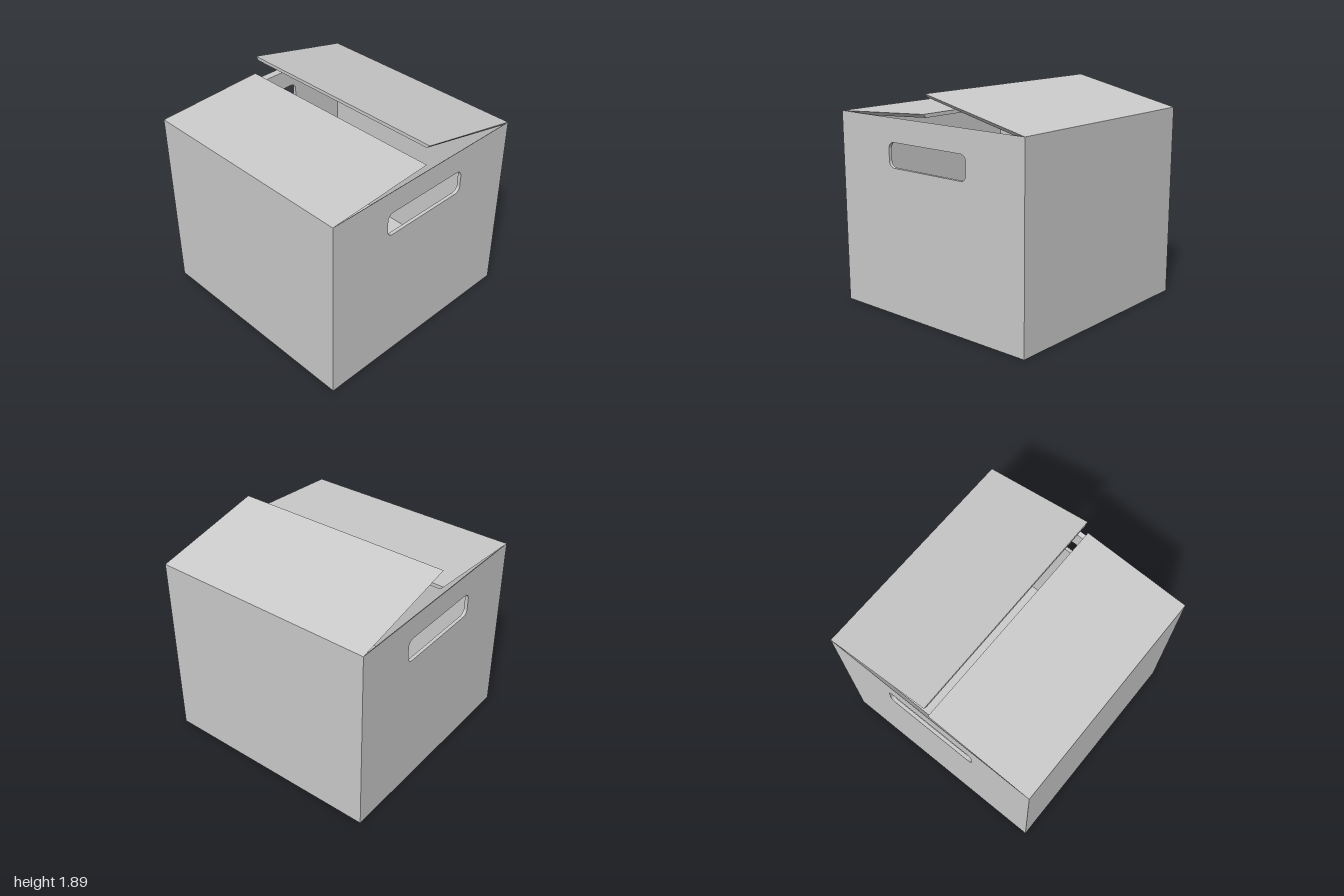
import * as THREE from 'three';

const H = 1.67; // height of the walls
const T = 0.03; // board thickness
const material = new THREE.MeshStandardMaterial({ color: 0xcccccc });

// Board with mitred edges: four outer corners (anticlockwise from outside) and the matching inner ones.
function board(name, outer, inner, turn = 1) {
  const corners = [...outer, ...inner].map(([x, y, z]) => [x * turn, y, z * turn]);
  const faces = [[0, 1, 2, 3], [7, 6, 5, 4]];
  for (let i = 0; i < 4; i++) {
    const j = (i + 1) % 4;
    faces.push([i, i + 4, j + 4, j]);
  }
  const positions = faces.flatMap(([a, b, c, d]) => [a, b, c, a, c, d].flatMap((k) => corners[k]));
  const geometry = new THREE.BufferGeometry();
  geometry.setAttribute('position', new THREE.Float32BufferAttribute(positions, 3));
  geometry.computeVertexNormals();
  const mesh = new THREE.Mesh(geometry, material);
  mesh.name = name;
  return mesh;
}

// Side wall with a rounded hand hole
function sideWallGeometry() {
  const wall = new THREE.Shape();
  wall.moveTo(-1, 0).lineTo(1, 0).lineTo(1, H).lineTo(-1, H).closePath();
  const w = 0.425, y0 = 1.26, y1 = 1.47, r = 0.055;
  const hole = new THREE.Path();
  hole.absarc(w - r, y0 + r, r, -Math.PI / 2, 0);
  hole.absarc(w - r, y1 - r, r, 0, Math.PI / 2);
  hole.absarc(-w + r, y1 - r, r, Math.PI / 2, Math.PI);
  hole.absarc(-w + r, y0 + r, r, Math.PI, Math.PI * 1.5);
  wall.holes.push(hole);
  const geometry = new THREE.ExtrudeGeometry(wall, { depth: T, bevelEnabled: false, curveSegments: 6 });

  // Mitre: pull the inner outline in by the thickness
  const p = geometry.attributes.position;
  for (let i = 0; i < p.count; i++) {
    if (p.getZ(i) > T / 2) continue;
    const x = p.getX(i), y = p.getY(i);
    if (Math.abs(x) > 0.99) p.setX(i, Math.sign(x) * (1 - T));
    if (y < 0.01) p.setY(i, T);
    if (y > H - 0.01) p.setY(i, H - T);
  }
  geometry.computeVertexNormals();
  return geometry.translate(0, 0, 1 - T);
}

export function createModel() {
  const model = new THREE.Group();
  model.name = 'cardboardBox';
  const n = 1 - T;

  // Floor
  model.add(board('floor',
    [[-1, 0, -1], [1, 0, -1], [1, 0, 1], [-1, 0, 1]],
    [[-n, T, -n], [n, T, -n], [n, T, n], [-n, T, n]]));

  // Front and back walls with their half-open flaps
  for (const { side, turn, tipY, tipZ } of [
    { side: 'front', turn: 1, tipY: 1.73, tipZ: 0.017 },
    { side: 'back', turn: -1, tipY: 1.89, tipZ: 0.003 },
  ]) {
    model.add(board(side + 'Wall',
      [[-1, 0, 1], [1, 0, 1], [1, H, 1], [-1, H, 1]],
      [[-n, T, n], [n, T, n], [n, H - T, n], [-n, H - T, n]], turn));
    model.add(board(side + 'Flap',
      [[-1, H, 1], [1, H, 1], [1, tipY, tipZ], [-1, tipY, tipZ]],
      [[-n, H - T, n], [n, H - T, n], [n, tipY - T, tipZ], [-n, tipY - T, tipZ]], turn));
  }

  // Left and right walls
  const sideGeometry = sideWallGeometry();
  for (const [name, turn] of [['leftWall', 1], ['rightWall', -1]]) {
    const wall = new THREE.Mesh(sideGeometry, material);
    wall.name = name;
    wall.rotation.y = turn * Math.PI / 2;
    model.add(wall);
  }
  return model;
}
